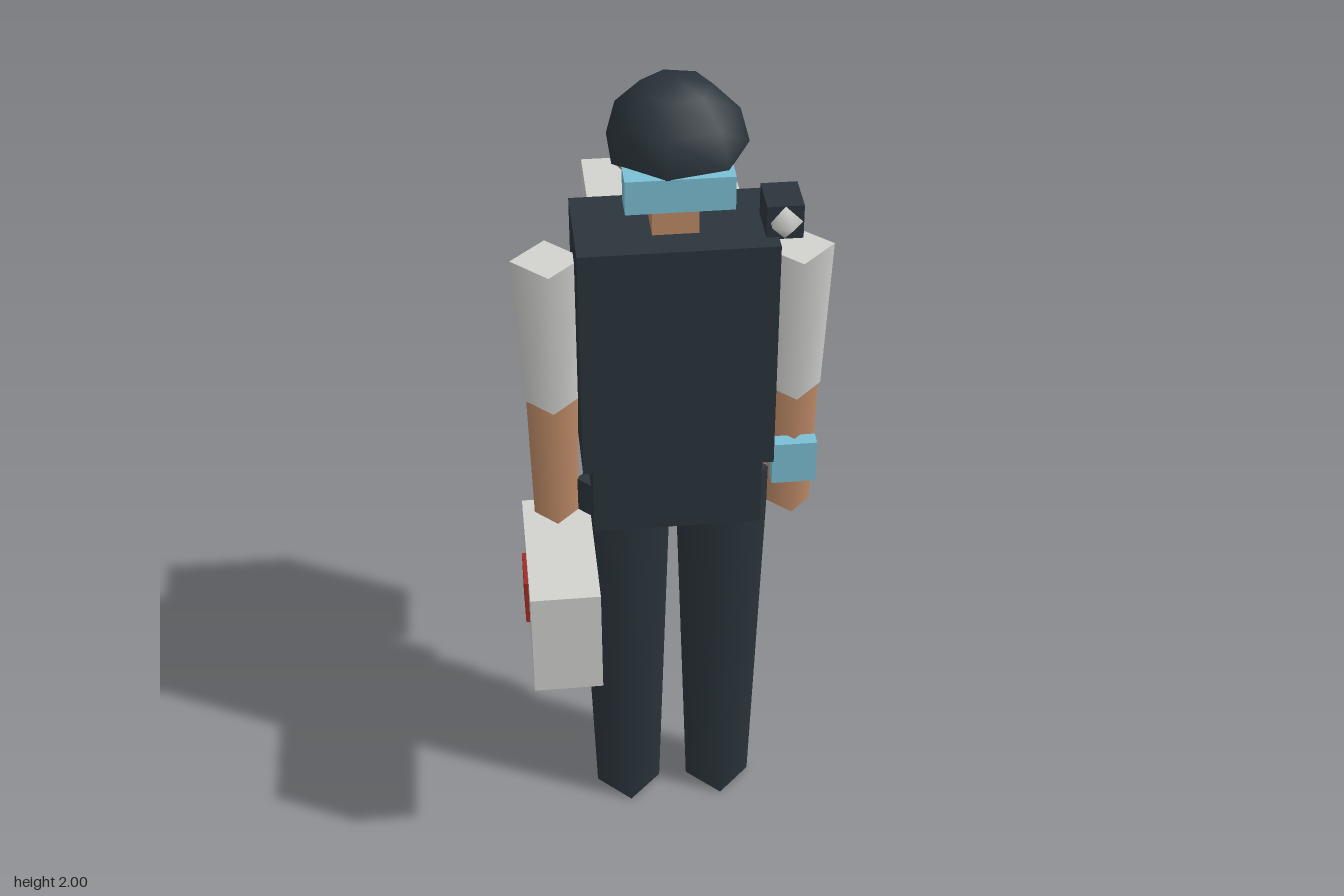
import * as THREE from 'three';

export function createModel() {
  const model = new THREE.Group();
  const mat = (name, color, side = THREE.FrontSide) => {
    const m = new THREE.MeshStandardMaterial({ color, side });
    m.name = name;
    return m;
  };
  const navy = mat('dark navy', 0x2b353c, THREE.DoubleSide);
  const grey = mat('light grey', 0xd2d2cf);
  const skin = mat('skin', 0xc08c68);
  const blue = mat('pale blue', 0x7cc0d5);
  const red = mat('red', 0xa22a22);

  const add = (name, geometry, material, x, y, z) => {
    const mesh = new THREE.Mesh(geometry, material);
    mesh.name = name;
    mesh.position.set(x, y, z);
    model.add(mesh);
    return mesh;
  };
  // Box given by its lower and upper limits on each axis
  const box = (name, material, [x0, x1], [y0, y1], [z0, z1]) =>
    add(name, new THREE.BoxGeometry(x1 - x0, y1 - y0, z1 - z0), material,
      (x0 + x1) / 2, (y0 + y1) / 2, (z0 + z1) / 2);
  // Four-sided tapered limb, with its corners on the axes
  const limb = (name, material, x, y0, y1, rBottom, rTop) =>
    add(name, new THREE.CylinderGeometry(rTop, rBottom, y1 - y0, 4), material, x, (y0 + y1) / 2, CZ);

  // Centre line of the body
  const CX = 0.005, CZ = 0.027;

  // Legs and arms
  for (const [side, s] of [['left', 1], ['right', -1]]) {
    limb(side + 'Leg', navy, CX + s * 0.115, 0, 0.99, 0.08, 0.11);
    limb(side + 'Sleeve', grey, CX + s * 0.273, 1.22, 1.585, 0.063, 0.079);
    limb(side + 'Forearm', skin, CX + s * 0.273, 0.89, 1.22, 0.051, 0.058);
  }

  // Body
  box('hips', navy, [-0.188, 0.195], [0.92, 1.1], [-0.08, 0.14]);
  box('vest', navy, [-0.21, 0.22], [1.095, 1.66], [-0.098, 0.15]);
  box('neck', skin, [-0.045, 0.055], [1.65, 1.715], [-0.023, 0.077]);

  // Head, goggles and open helmet
  const head = add('head', new THREE.SphereGeometry(0.124, 4, 2), skin, CX, 1.81, CZ);
  head.scale.y = 1.15;
  box('goggles', blue, [-0.11, 0.118], [1.77, 1.846], [0.11, 0.176]);
  const helmet = add('helmet',
    new THREE.SphereGeometry(0.155, 7, 3, 0, Math.PI * 2, 0, Math.PI / 2), navy, CX + 0.005, 1.845, CZ);
  helmet.rotation.y = Math.PI;

  // Shoulder lamp
  box('lampHousing', navy, [0.193, 0.272], [1.655, 1.733], [0.01, 0.112]);
  const lens = add('lampLens', new THREE.SphereGeometry(0.038, 5, 2), grey, 0.232, 1.695, 0.113);
  lens.rotation.y = Math.PI;

  // Wrist screen and backpack
  box('wristScreen', blue, [0.225, 0.327], [0.997, 1.105], [0.067, 0.102]);
  box('backpack', grey, [-0.165, 0.175], [1.14, 1.615], [-0.348, -0.145]);

  // Hand-carried case with a red side plate
  box('case', grey, [-0.347, -0.19], [0.63, 0.9], [-0.018, 0.345]);
  box('casePlate', red, [-0.356, -0.347], [0.73, 0.845], [0.108, 0.22]);

  return model;
}
